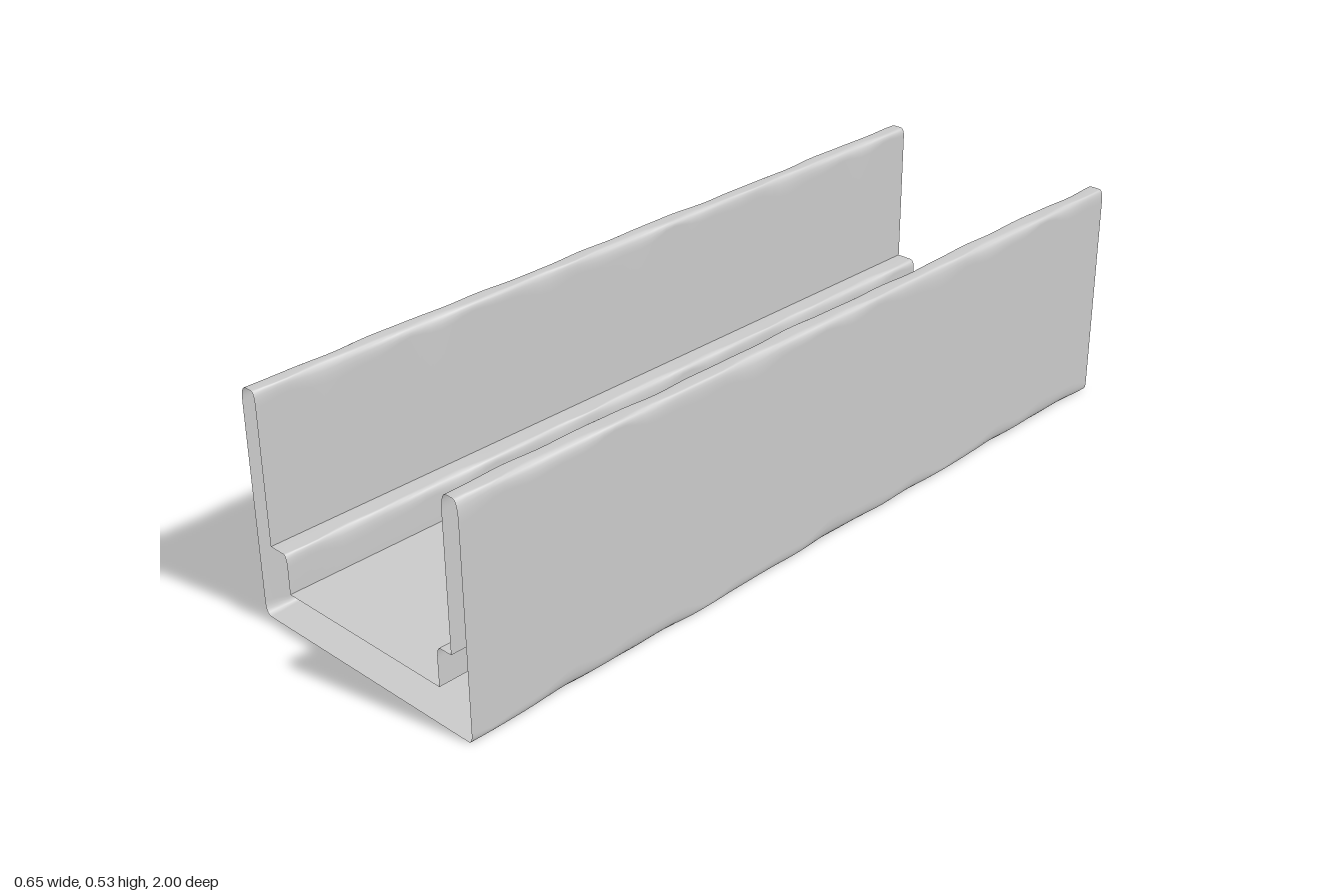
import * as THREE from 'three';

const HALF_LENGTH = 1;
const STEPS = 72;      // slices along the channel
const ARC = 5;         // segments in each worn corner

// Irregular but repeatable wear in 0..1 along z, different for each seed
function wear(z, seed) {
  const s = Math.sin(z * 9 + seed * 2.3) + Math.sin(z * 23 + seed * 5.1) * 0.7 + Math.sin(z * 41 + seed * 1.7) * 0.5;
  return THREE.MathUtils.clamp(0.5 + s * 0.25, 0, 1);
}

// Cross-section at z: end points stay sharp, inner points become worn rounded corners
function section(corners, z, seed) {
  const pts = corners.map(([x, y]) => new THREE.Vector2(x, y));
  const out = [];
  pts.forEach((p, i) => {
    if (i === 0 || i === pts.length - 1) {
      out.push(p);
      return;
    }
    // Wear runs further along tall faces than across narrow ones
    const towards = (q, k) => {
      const d = q.clone().sub(p);
      const vertical = Math.abs(d.y) > Math.abs(d.x);
      const reach = (vertical ? 0.012 + 0.035 * wear(z, k) : 0.006 + 0.013 * wear(z, k + 3));
      return p.clone().add(d.setLength(Math.min(reach, d.length() * 0.45)));
    };
    const k = seed + i * 1.9;
    const curve = new THREE.QuadraticBezierCurve(towards(pts[i - 1], k), p, towards(pts[i + 1], k + 0.6));
    out.push(...curve.getPoints(ARC));
  });
  return out;
}

// Open strip swept along z; its ends are left uncapped
function strip(name, corners, seed, material) {
  const positions = [], index = [];
  let n = 0;
  for (let j = 0; j <= STEPS; j++) {
    const z = -HALF_LENGTH + (2 * HALF_LENGTH * j) / STEPS;
    const pts = section(corners, z, seed);
    n = pts.length;
    pts.forEach((p) => positions.push(p.x, p.y, z));
  }
  for (let j = 0; j < STEPS; j++) {
    for (let i = 0; i < n - 1; i++) {
      const a = j * n + i, b = a + 1, c = a + n, d = c + 1;
      index.push(a, b, c, b, d, c);
    }
  }
  const geometry = new THREE.BufferGeometry();
  geometry.setAttribute('position', new THREE.Float32BufferAttribute(positions, 3));
  geometry.setIndex(index);
  geometry.computeVertexNormals();
  const mesh = new THREE.Mesh(geometry, material);
  mesh.name = name;
  return mesh;
}

export function createModel() {
  const group = new THREE.Group();
  group.name = 'channel';
  const material = new THREE.MeshStandardMaterial({ color: 0xcccccc, side: THREE.DoubleSide });

  // Underside and both upright walls, from inner left face round to inner right face
  const shell = [
    [-0.28, 0.18], [-0.28, 0.53], [-0.323, 0.53], [-0.323, 0],
    [0.323, 0], [0.323, 0.53], [0.277, 0.53], [0.277, 0.18],
  ];
  group.add(strip('wallsAndUnderside', shell, 1, material));

  // Ledge at the foot of each wall
  group.add(strip('leftLedge', [[0.277, 0.18], [0.235, 0.18], [0.235, 0.088]], 7, material));
  group.add(strip('rightLedge', [[-0.229, 0.088], [-0.229, 0.18], [-0.28, 0.18]], 12, material));

  // Sunken floor between the ledges
  group.add(strip('floor', [[0.235, 0.088], [-0.229, 0.088]], 0, material));

  return group;
}
